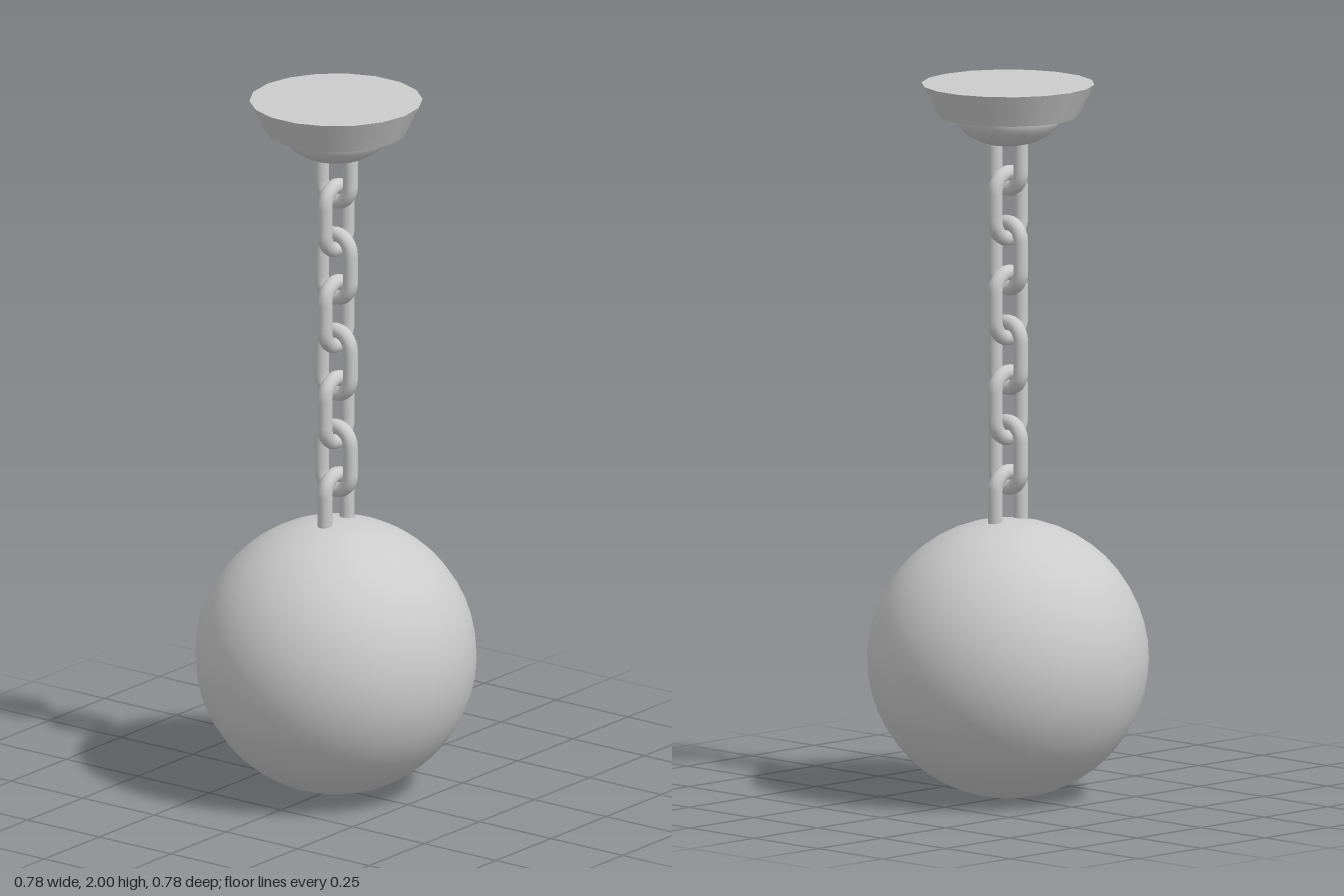
import * as THREE from 'three';

const material = new THREE.MeshStandardMaterial({ color: 0xcccccc });

function addMesh(parent, name, geometry, y) {
  const mesh = new THREE.Mesh(geometry, material);
  mesh.name = name;
  mesh.position.y = y;
  parent.add(mesh);
  return mesh;
}

// Closed oval link: two half circles joined by straight sides, in the xy plane
function linkGeometry(radius, halfStraight, wire) {
  const path = new THREE.Path();
  path.moveTo(radius, -halfStraight);
  path.lineTo(radius, halfStraight);
  path.absarc(0, halfStraight, radius, 0, Math.PI, false);
  path.lineTo(-radius, -halfStraight);
  path.absarc(0, -halfStraight, radius, Math.PI, Math.PI * 2, false);
  const points = path.getSpacedPoints(40).slice(0, 40)
    .map((p) => new THREE.Vector3(p.x, p.y, 0));
  const curve = new THREE.CatmullRomCurve3(points, true);
  return new THREE.TubeGeometry(curve, 48, wire, 12, true);
}

export function createModel() {
  const model = new THREE.Group();
  model.name = 'hangingBallAndChain';

  // Heavy ball
  addMesh(model, 'ball', new THREE.SphereGeometry(0.39, 32, 24), 0.39);

  // Tapered ceiling mount with a shallow dome under it
  addMesh(model, 'ceilingMount', new THREE.CylinderGeometry(0.24, 0.195, 0.09, 18), 1.955);
  const dome = new THREE.SphereGeometry(0.147, 24, 8, 0, Math.PI * 2, Math.PI / 2, Math.PI / 2);
  dome.scale(1, 0.086 / 0.147, 1);
  addMesh(model, 'mountDome', dome, 1.912);

  // Chain: each link is turned a quarter from the one above
  const chain = new THREE.Group();
  chain.name = 'chain';
  model.add(chain);
  const geometry = linkGeometry(0.05, 0.042, 0.021);
  for (let i = 0; i < 8; i++) {
    const link = addMesh(chain, 'chainLink', geometry, 1.798 - i * 0.1397);
    link.rotation.y = i % 2 === 0 ? Math.PI / 2 : 0;
  }
  return model;
}
